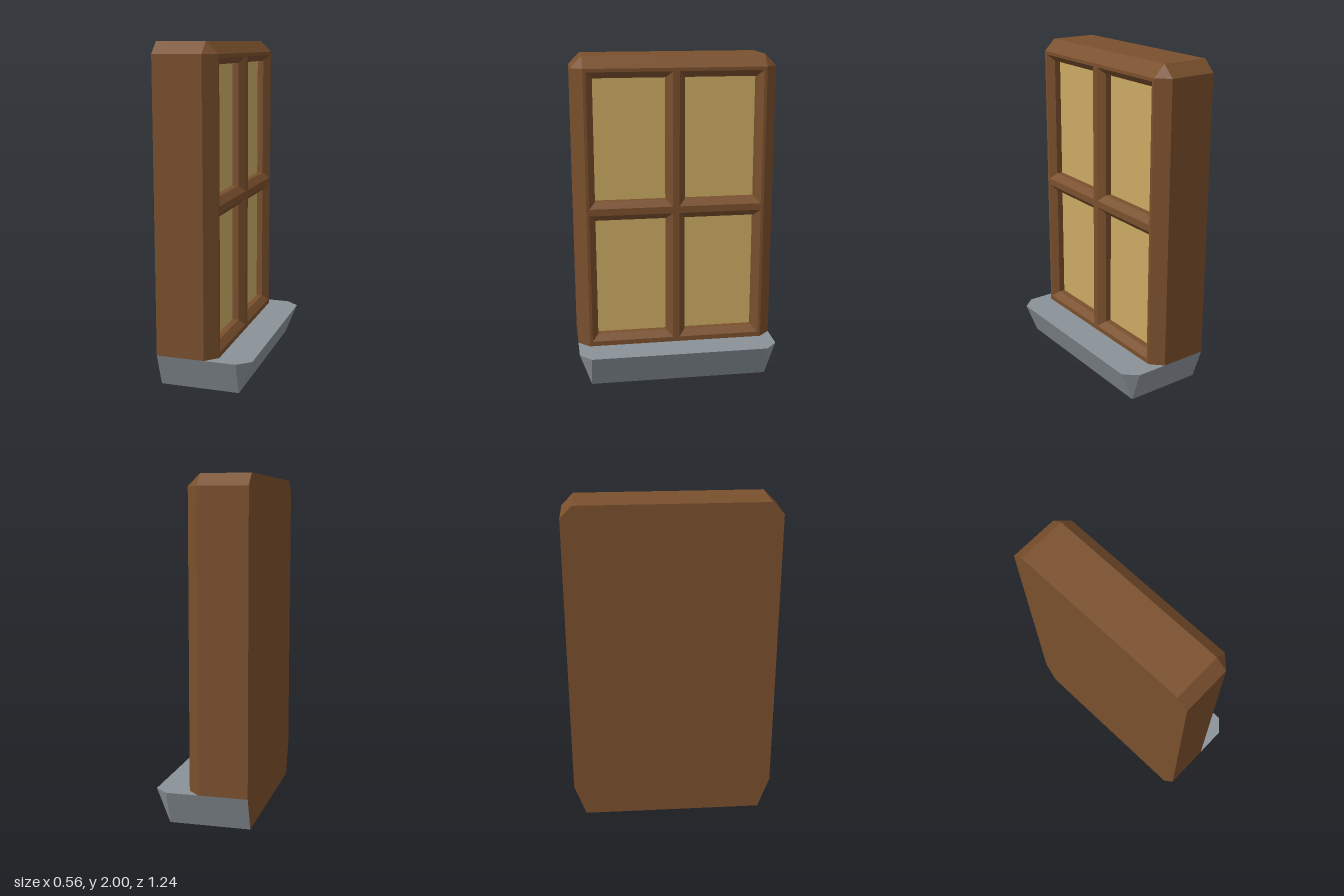
import * as THREE from 'three';

const wood = new THREE.MeshStandardMaterial({ color: 0x7a502d });
wood.name = 'brown wood';
const glow = new THREE.MeshStandardMaterial({ color: 0xcbaa63 });
glow.name = 'amber glass';
const stone = new THREE.MeshStandardMaterial({ color: 0x8a9299 });
stone.name = 'grey stone';

// Flat-shaded geometry from convex polygons, skipping collapsed triangles
function facets(polygons) {
  const out = [];
  for (const p of polygons) {
    for (let i = 1; i < p.length - 1; i++) {
      const t = new THREE.Triangle(...[p[0], p[i], p[i + 1]].map(v => new THREE.Vector3(...v)));
      if (t.getArea() > 1e-7) out.push(...p[0], ...p[i], ...p[i + 1]);
    }
  }
  const g = new THREE.BufferGeometry();
  g.setAttribute('position', new THREE.Float32BufferAttribute(out, 3));
  g.computeVertexNormals();
  return g;
}

// Quads joining successive cross-sections
function strips(rings) {
  const quads = [];
  for (let r = 0; r < rings.length - 1; r++) {
    const a = rings[r], b = rings[r + 1];
    for (let i = 0; i < a.length - 1; i++) quads.push([a[i], a[i + 1], b[i + 1], b[i]]);
  }
  return quads;
}

const atX = (x, pts) => pts.map(([z, y]) => [x, y, z]);
const atY = (y, pts) => pts.map(([x, z]) => [x, y, z]);

const BACK = -0.28, EDGE = 0.01, FACE = 0.08, GLASS = 0.005;
const W = 0.62, w = 0.55, SILL = 0.2, SHOULDER = 1.93, TOP = 2;

export function createModel() {
  const model = new THREE.Group();
  model.name = 'window';
  const add = (name, geometry, material, parent = model) => {
    const mesh = new THREE.Mesh(geometry, material);
    mesh.name = name;
    parent.add(mesh);
    return mesh;
  };

  // Frame sides and top, with chamfered corners and front edges
  const outline = [[-W, SILL], [-W, SHOULDER], [-w, TOP], [w, TOP], [W, SHOULDER], [W, SILL]];
  const inner = [[-w, SILL], [-w, SHOULDER], [-w, SHOULDER], [w, SHOULDER], [w, SHOULDER], [w, SILL]];
  add('frameSurround', facets(strips([atX(BACK, outline), atX(EDGE, outline), atX(FACE, inner)])), wood);

  // Back board, tapering in behind the sill
  const board = atX(BACK, [[-w, 0], ...outline, [w, 0]]).reverse();
  add('backBoard', facets([board]), wood);

  // Front face with four openings, each with a bevel, a reveal and a pane
  const face = new THREE.Shape([[-w, SILL], [w, SILL], [w, SHOULDER], [-w, SHOULDER]]
    .map(p => new THREE.Vector2(...p)));
  const inset = 0.038;
  for (const [row, y0, y1] of [['lower', 0.23, 1.048], ['upper', 1.09, 1.91]]) {
    for (const [side, z0, z1] of [['Left', -0.532, -0.02], ['Right', 0.02, 0.532]]) {
      const rect = d => [[z0 + d, y0 + d], [z0 + d, y1 - d], [z1 - d, y1 - d], [z1 - d, y0 + d], [z0 + d, y0 + d]];
      face.holes.push(new THREE.Path(rect(0).map(([z, y]) => new THREE.Vector2(-z, y))));

      const opening = new THREE.Group();
      opening.name = row + side + 'Opening';
      model.add(opening);
      const rings = [atX(FACE, rect(0)), atX(FACE - 0.037, rect(inset)), atX(GLASS, rect(inset))];
      add('bevelAndReveal', facets(strips(rings)), wood, opening);

      const pane = add('pane', new THREE.PlaneGeometry(z1 - z0 - 2 * inset, y1 - y0 - 2 * inset), glow, opening);
      pane.rotation.y = Math.PI / 2;
      pane.position.set(GLASS, (y0 + y1) / 2, (z0 + z1) / 2);
    }
  }
  const front = new THREE.ShapeGeometry(face);
  front.rotateY(Math.PI / 2);
  front.translate(FACE, 0, 0);
  add('frameFace', front, wood);

  // Sill flaring outward from its base
  const base = atY(0, [[BACK, w], [0.2, w], [0.2, w], [0.2, -w], [0.2, -w], [BACK, -w]]);
  const ledge = atY(SILL, [[BACK, W], [0.2, W], [0.28, w], [0.28, -w], [0.2, -W], [BACK, -W]]);
  add('sill', facets([...strips([base, ledge]), ledge, [...base].reverse()]), stone);

  return model;
}
